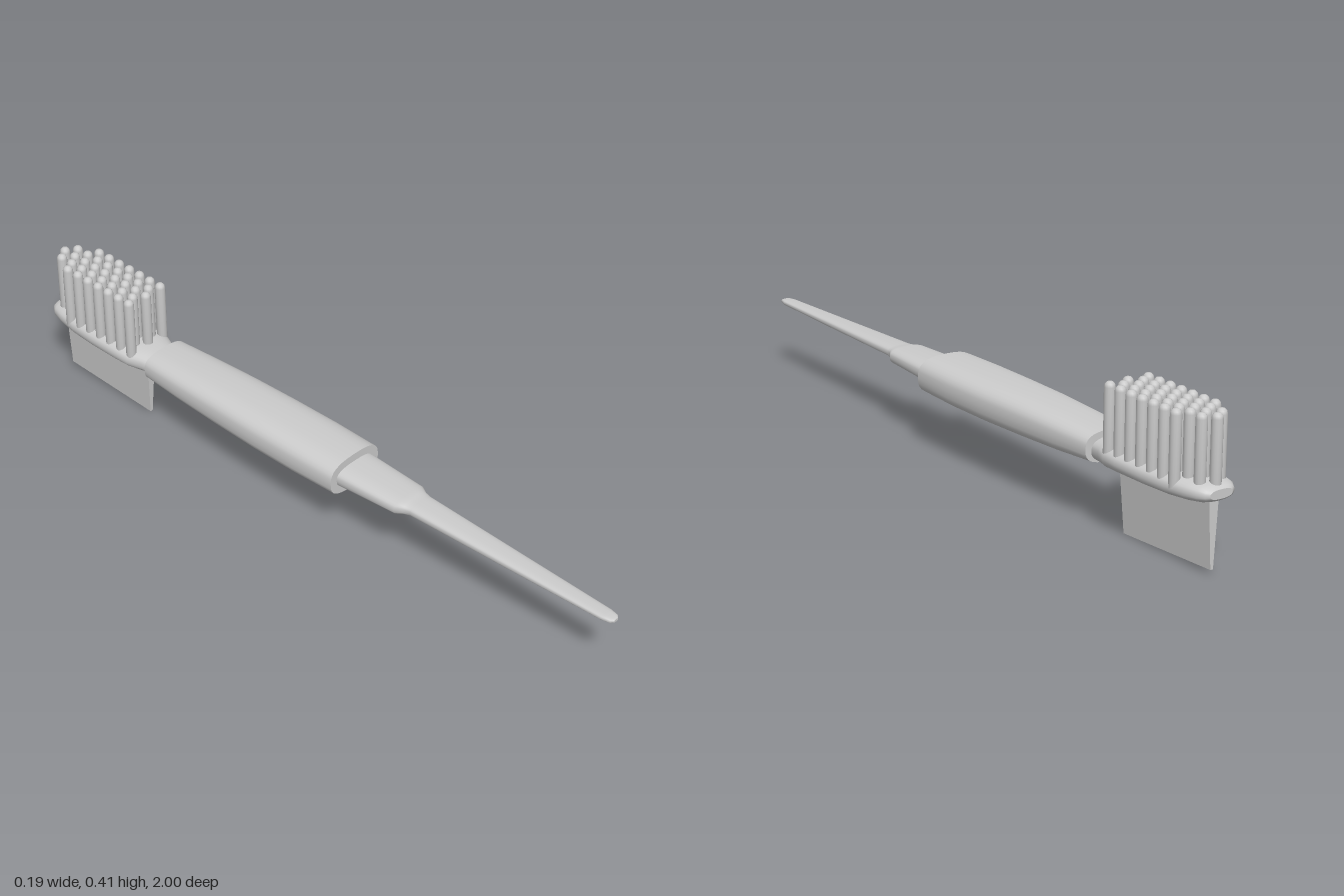
import * as THREE from 'three';

const material = new THREE.MeshStandardMaterial({ color: 0xcccccc });

// Superellipse loft along z; sections run from +z to -z as [z, halfWidth, halfHeight, centreY]
function loft(name, sections, power = 2.8, n = 32) {
  const pos = [], idx = [];
  const ring = ([z, w, h, cy]) => {
    for (let j = 0; j < n; j++) {
      const a = (j / n) * Math.PI * 2, c = Math.cos(a), s = Math.sin(a);
      pos.push(w * Math.sign(c) * Math.abs(c) ** (2 / power),
        cy + h * Math.sign(s) * Math.abs(s) ** (2 / power), z);
    }
  };
  sections.forEach(ring);
  for (let i = 0; i < sections.length - 1; i++) {
    for (let j = 0; j < n; j++) {
      const k = (j + 1) % n, a = i * n + j, b = i * n + k;
      idx.push(a, a + n, b, b, a + n, b + n);
    }
  }
  // Flat caps with their own vertices so the rims stay sharp
  [sections[0], sections[sections.length - 1]].forEach((s, end) => {
    const start = pos.length / 3;
    ring(s);
    pos.push(0, s[3], s[0]);
    for (let j = 0; j < n; j++) {
      const a = start + j, b = start + (j + 1) % n;
      idx.push(start + n, end ? b : a, end ? a : b);
    }
  });
  const geo = new THREE.BufferGeometry();
  geo.setAttribute('position', new THREE.Float32BufferAttribute(pos, 3));
  geo.setIndex(idx);
  geo.computeVertexNormals();
  const mesh = new THREE.Mesh(geo, material);
  mesh.name = name;
  return mesh;
}

export function createModel() {
  const model = new THREE.Group();
  model.name = 'doubleSidedBrush';

  // Grip
  model.add(loft('grip', [
    [0.14, 0.091, 0.052, 0.211], [0.0, 0.094, 0.055, 0.21], [-0.15, 0.093, 0.055, 0.21],
    [-0.3, 0.089, 0.053, 0.211], [-0.45, 0.083, 0.048, 0.211], [-0.58, 0.076, 0.041, 0.212],
  ]));

  // Stepped tail ending in a rounded tip
  model.add(loft('tail', [
    [1.0, 0.008, 0.004, 0.212], [0.993, 0.016, 0.007, 0.212], [0.97, 0.021, 0.008, 0.212],
    [0.7, 0.03, 0.012, 0.213], [0.37, 0.041, 0.016, 0.215], [0.35, 0.046, 0.019, 0.214],
    [0.33, 0.058, 0.023, 0.213], [0.13, 0.069, 0.029, 0.211],
  ]));

  // Head plate with a narrow neck
  model.add(loft('head', [
    [-0.57, 0.056, 0.031, 0.205], [-0.61, 0.062, 0.032, 0.206], [-0.65, 0.078, 0.032, 0.209],
    [-0.7, 0.081, 0.032, 0.21], [-0.8, 0.08, 0.032, 0.21], [-0.88, 0.075, 0.031, 0.21],
    [-0.94, 0.066, 0.028, 0.211], [-0.975, 0.057, 0.024, 0.212],
    [-0.993, 0.045, 0.018, 0.212], [-1.0, 0.034, 0.012, 0.212],
  ], 2.5));

  // Scraper fin under the head, tapering to a thin lower edge
  const finGeo = new THREE.BoxGeometry(1, 1, 1, 1, 1, 1);
  const p = finGeo.attributes.position;
  for (let i = 0; i < p.count; i++) {
    const low = p.getY(i) < 0, back = p.getZ(i) < 0;
    p.setXYZ(i, Math.sign(p.getX(i)) * (low ? 0.004 : 0.015),
      low ? (back ? 0.014 : 0) : 0.2,
      back ? -0.974 : (low ? -0.645 : -0.635));
  }
  finGeo.computeVertexNormals();
  const fin = new THREE.Mesh(finGeo, material);
  fin.name = 'scraperFin';
  model.add(fin);

  // Staggered domed bristle tufts
  const r = 0.0145, top = 0.405, base = 0.21;
  const profile = [[0, base], [r, base], [r, top - 0.014], [r * 0.85, top - 0.006],
    [r * 0.5, top - 0.001], [0, top]].map(([x, y]) => new THREE.Vector2(x, y));
  const tuftGeo = new THREE.LatheGeometry(profile, 14);
  const tufts = new THREE.Group();
  tufts.name = 'bristles';
  const columns = [[0, -0.645, 9], [0.03, -0.666, 8], [0.059, -0.65, 7]];
  for (const [x, z0, count] of columns) {
    for (const side of x ? [-1, 1] : [1]) {
      for (let i = 0; i < count; i++) {
        const tuft = new THREE.Mesh(tuftGeo, material);
        tuft.name = 'tuft';
        tuft.position.set(side * x, 0, z0 - i * 0.0415);
        tufts.add(tuft);
      }
    }
  }
  model.add(tufts);
  return model;
}
